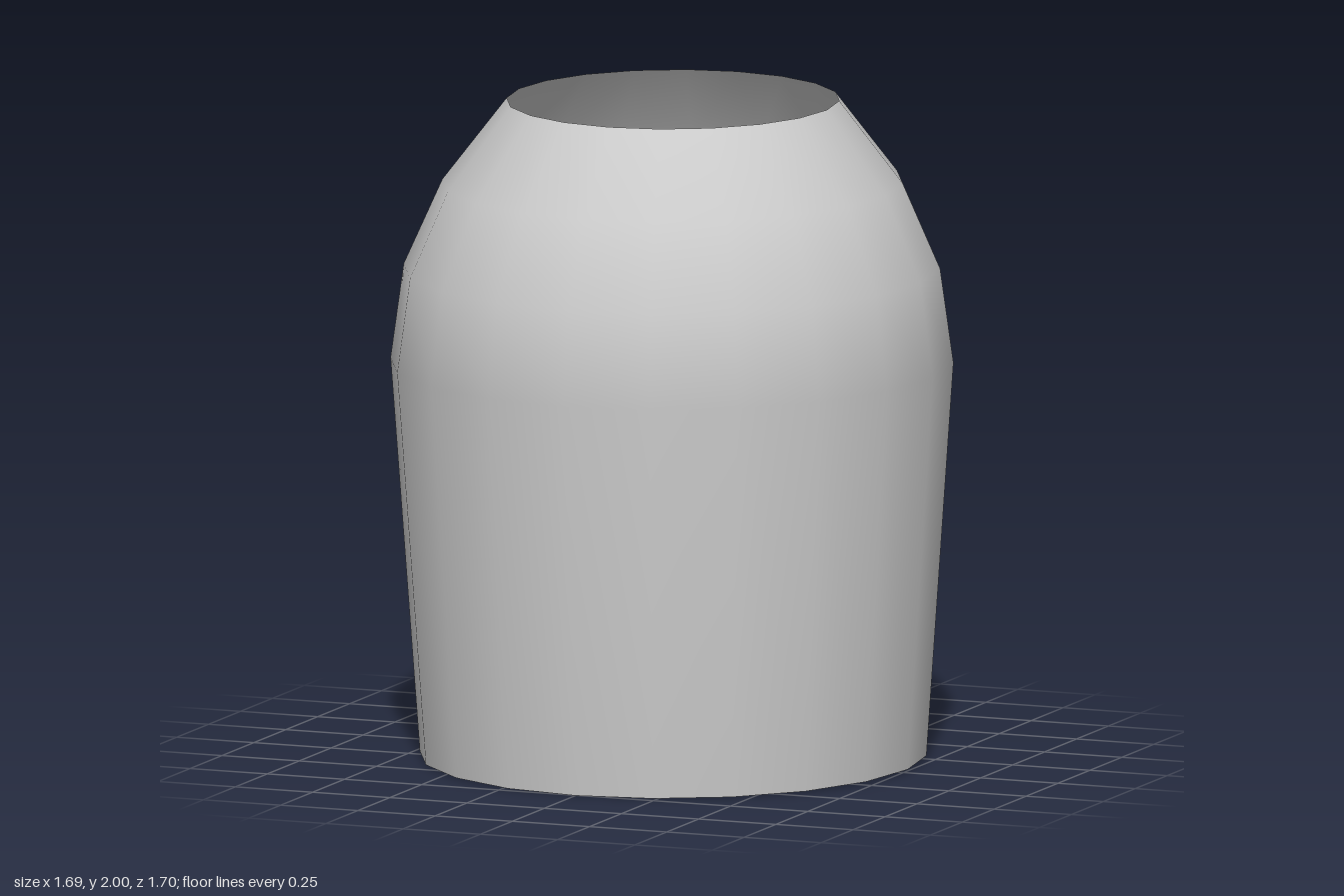
import * as THREE from 'three';

export function createModel() {
  const group = new THREE.Group();
  group.name = 'openShell';

  // Profile from bottom rim to top rim: radius, height, z offset of the ring
  const rings = [
    [0.765, 0.01, -0.01],
    [0.85, 1.205, -0.001],
    [0.81, 1.49, 0],
    [0.695, 1.747, -0.005],
    [0.502, 1.995, -0.008],
  ];
  const geometry = new THREE.LatheGeometry(rings.map(([r, y]) => new THREE.Vector2(r, y)), 20);

  // The rings lean slightly forward and sit a little off centre
  const pos = geometry.attributes.position;
  for (let i = 0; i < pos.count; i++) {
    const z = pos.getZ(i);
    pos.setX(i, pos.getX(i) * 0.993);
    pos.setY(i, pos.getY(i) - 0.011 * z);
    pos.setZ(i, z + rings[i % rings.length][2]);
  }

  // Thin shell, open at both ends
  const material = new THREE.MeshStandardMaterial({ color: 0xcccccc, side: THREE.DoubleSide });
  const shell = new THREE.Mesh(geometry, material);
  shell.name = 'shell';
  group.add(shell);
  return group;
}
